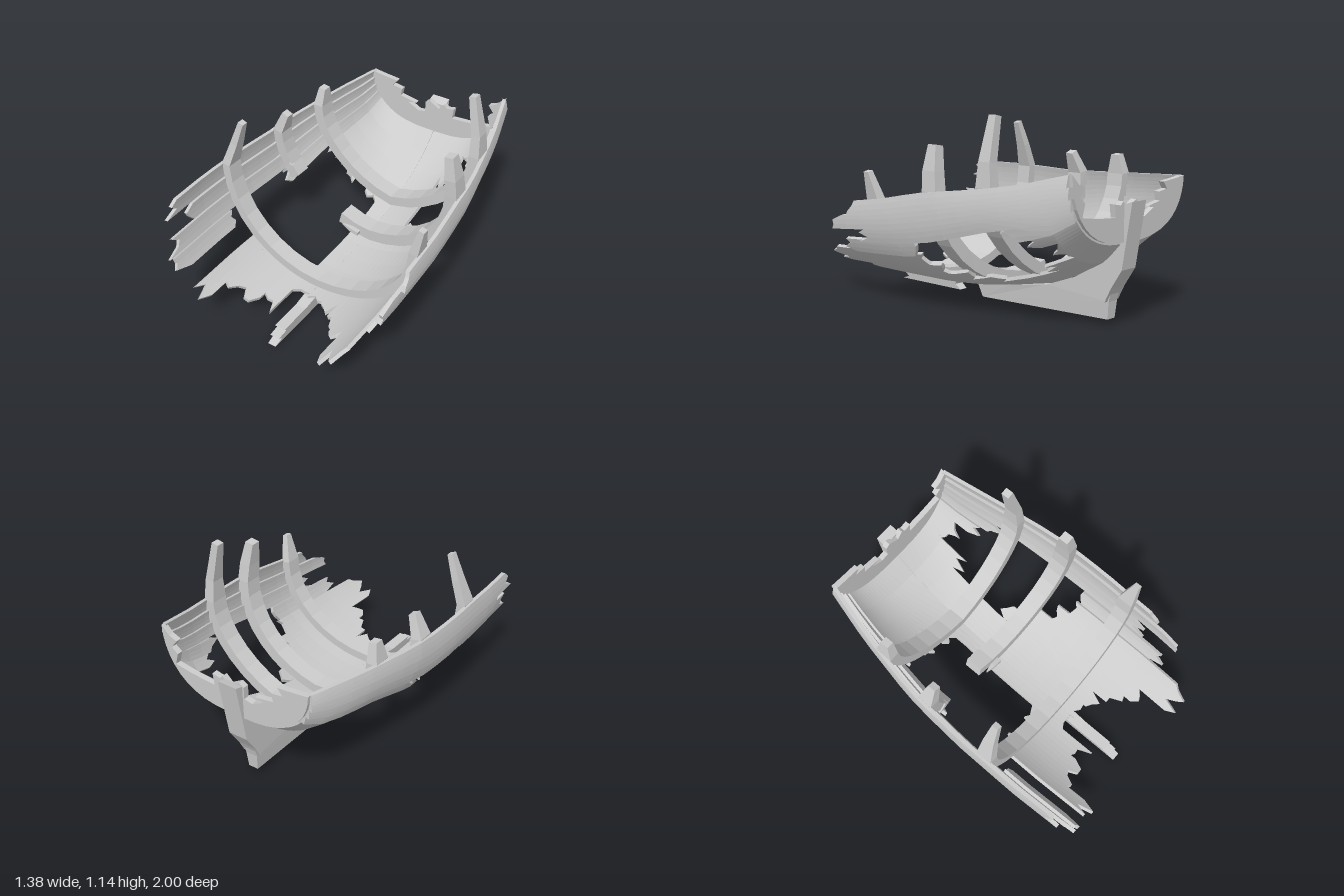
import * as THREE from 'three';

const material = new THREE.MeshStandardMaterial({ color: 0xcccccc, flatShading: true, side: THREE.DoubleSide });
const STERN = -0.93;
const clamp = THREE.MathUtils.clamp;

// Hull lines as [z, value] stations
const BEAM = [[-0.93, 0.48], [-0.6, 0.565], [-0.2, 0.64], [0.2, 0.668], [0.6, 0.672], [1, 0.655]];
const BOTTOM = [[-0.93, 0.48], [-0.8, 0.36], [-0.6, 0.25], [-0.4, 0.175], [-0.1, 0.12], [0.2, 0.095], [1, 0.085]];
const RAIL_PLUS = [[-0.93, 0.87], [-0.65, 0.8], [-0.4, 0.76], [0, 0.71], [0.3, 0.65], [1, 0.55]];
const RAIL_MINUS = [[-0.93, 0.79], [-0.5, 0.76], [0, 0.73], [0.45, 0.74], [1, 0.73]];

function sample(table, z) {
  if (z <= table[0][0]) return table[0][1];
  for (let i = 1; i < table.length; i++) {
    const [z0, a] = table[i - 1], [z1, b] = table[i];
    if (z <= z1) return a + (b - a) * (z - z0) / (z1 - z0);
  }
  return table[table.length - 1][1];
}

let seed = 7;
function rand() {
  seed = (seed * 16807) % 2147483647;
  return seed / 2147483647;
}

// Hull section: s = 0 at the keel, +-1 at the rails; off moves outward.
// Sections are fuller at the stern and slightly V-shaped ahead of it.
function hullPoint(s, z, off = 0) {
  const side = s < 0 ? -1 : 1, a = Math.abs(s) * Math.PI / 2;
  const full = 1 - 0.3 * clamp((-z - 0.3) / 0.6, 0, 1);
  const vee = 0.2 * Math.max(0, 1 - Math.abs(z + 0.45) / 0.45);
  const low = sample(BOTTOM, z), high = sample(side > 0 ? RAIL_PLUS : RAIL_MINUS, z);
  const x = sample(BEAM, z) * Math.pow(Math.sin(a), full) + off * Math.sin(a);
  const y = low + (high - low) * (1 - Math.cos(a) + vee * Math.sin(a) * Math.cos(a)) - off * Math.cos(a);
  return [side * x, y, z];
}

// Joins closed rings of points into a capped solid
function loft(rings, flip = false) {
  const pos = [], n = rings[0].length;
  const quad = (a, b, c, d) => pos.push(...(flip ? [a, c, b, a, d, c] : [a, b, c, a, c, d]).flat());
  for (let i = 0; i + 1 < rings.length; i++) {
    for (let j = 0; j < n; j++) {
      const k = (j + 1) % n;
      quad(rings[i][j], rings[i][k], rings[i + 1][k], rings[i + 1][j]);
    }
  }
  const first = rings[0], last = rings[rings.length - 1];
  for (let j = 0; j < n / 2 - 1; j++) {
    quad(first[n - 1 - j], first[n - 2 - j], first[j + 1], first[j]);
    quad(last[j], last[j + 1], last[n - 2 - j], last[n - 1 - j]);
  }
  const g = new THREE.BufferGeometry();
  g.setAttribute('position', new THREE.Float32BufferAttribute(pos, 3));
  g.computeVertexNormals();
  return g;
}

function add(group, name, geometry) {
  const mesh = new THREE.Mesh(geometry, material);
  mesh.name = name;
  group.add(mesh);
  return mesh;
}

// One run of planking between z0 and z1, splintered wherever it is broken.
// All runs share the same stations, so neighbouring seams meet.
function plank(side, index, z0, z1) {
  const rows = 4, lapped = index > 5, jag = index === 0 ? 0.03 : Math.min(0.11, (z1 - z0) * 0.4);
  const starts = [], ends = [];
  for (let j = 0; j < rows; j++) {
    starts.push(z0 === STERN ? z0 : z0 + rand() * jag * 0.7);
    ends.push(z1 - rand() * jag);
  }
  ends[Math.floor(rand() * rows)] = z1;
  const stations = [z0];
  for (let z = STERN + 0.13; z < z1 - 0.01; z += 0.13) if (z > z0 + 0.01) stations.push(z);
  stations.push(z1);
  return loft(stations.map(station => {
    const outer = [], inner = [];
    for (let j = 0; j < rows; j++) {
      const t = j / (rows - 1), s = side * Math.max(0.0001, (index + t) / 10);
      const z = clamp(station, starts[j], ends[j]);
      outer.push(hullPoint(s, z, lapped ? 0.027 - 0.021 * t : 0.01));
      inner.unshift(hullPoint(s, z, lapped ? 0.003 - 0.02 * t : -0.012));
    }
    return [...outer, ...inner];
  }), side < 0);
}

// Rectangular timber swept along [x, y, z, scale] points
function timber(path, depth, width) {
  const last = path.length - 1;
  return loft(path.map(([x, y, z, k = 1], i) => {
    const a = path[Math.max(0, i - 1)], b = path[Math.min(last, i + 1)];
    const len = Math.hypot(b[0] - a[0], b[1] - a[1]);
    const d = depth / 2 * Math.sqrt(k) / len, w = width / 2 * k;
    const nx = (a[1] - b[1]) * d, ny = (b[0] - a[0]) * d;
    return [[x - nx, y - ny, z - w], [x + nx, y + ny, z - w], [x + nx, y + ny, z + w], [x - nx, y - ny, z + w]];
  }));
}

// Rib following the inside of the hull, with free tops at either end
function rib(z0, z1, s0, s1, topStart, topEnd, width, depth) {
  const path = [...topStart], n = Math.max(4, Math.round((s1 - s0) * 8));
  for (let i = 0; i <= n; i++) {
    path.push(hullPoint(s0 + (s1 - s0) * i / n, z0 + (z1 - z0) * i / n, -0.008 - depth / 2));
  }
  path.push(...topEnd);
  return timber(path, depth, width);
}

// Side outline in [z, y], given thickness across x that narrows towards the ground
function sideProfile(points, width) {
  const shape = new THREE.Shape(points.map(p => new THREE.Vector2(...p)));
  const g = new THREE.ExtrudeGeometry(shape, { depth: width, bevelEnabled: false })
    .translate(0, 0, -width / 2).rotateY(-Math.PI / 2);
  const p = g.attributes.position;
  for (let i = 0; i < p.count; i++) p.setX(i, p.getX(i) * (0.7 + 3 * clamp(p.getY(i), 0, 0.1)));
  g.computeVertexNormals();
  return g;
}

export function createModel() {
  const model = new THREE.Group();
  model.name = 'shipwreck';

  // Planking: surviving runs per strake, keel to rail
  const runs = {
    1: [
      [[STERN, 0.53]], [[STERN, 0.6]], [[STERN, -0.58], [-0.27, 0.7]], [[STERN, -0.74], [-0.14, 0.78]],
      [[STERN, -0.72], [0.01, 1]], [[STERN, -0.62], [0.08, 1]], [[STERN, -0.5], [0.08, 0.76]],
      [[STERN, 0.56]], [[STERN, 0.78]], [[STERN, 0.6]],
    ],
    [-1]: [
      [[STERN, 0.53]], [[STERN, -0.36], [0.28, 0.76]], [[STERN, -0.4], [0.3, 0.78]], [[STERN, -0.37], [0.3, 0.8]],
      [[STERN, -0.4], [0.33, 1]], [[STERN, -0.38]], [[STERN, -0.02], [0.42, 1]],
      [[STERN, 1]], [[STERN, 0.78]], [[STERN, 0.92]],
    ],
  };
  for (const side of [1, -1]) {
    const planking = new THREE.Group();
    planking.name = side > 0 ? 'leftPlanking' : 'rightPlanking';
    runs[side].forEach((strake, i) => strake.forEach(([a, b]) => add(planking, 'strake', plank(side, i, a, b))));
    model.add(planking);
  }

  // Ribs
  add(model, 'frontRib', rib(0.38, 0.38, -1, 1,
    [[-0.532, 1.03, 0.37, 0.4], [-0.585, 0.88, 0.37, 0.7]], [[0.672, 0.8, 0.4, 0.4]], 0.1, 0.055));
  add(model, 'middleRib', rib(-0.14, -0.08, -0.2, 1,
    [], [[0.595, 0.83, -0.07, 0.9], [0.572, 0.97, -0.065, 0.55]], 0.11, 0.075));
  add(model, 'brokenRib', rib(-0.08, -0.1, -1, -0.62, [[-0.555, 0.86, -0.07, 0.5]], [], 0.1, 0.065));
  add(model, 'rearRib', rib(-0.44, -0.44, -1, 1,
    [[-0.54, 0.87, -0.44, 0.5]], [[0.55, 0.9, -0.44, 0.75], [0.5, 1.14, -0.445, 0.45]], 0.11, 0.065));

  // Splinters on the broken ends
  for (const [x, y, z, angle] of [[-0.13, 0.19, -0.19, -0.3], [-0.12, 0.21, -0.11, -0.25], [-0.09, 0.18, -0.06, -0.2],
    [-0.57, 0.5, -0.13, 1.2], [-0.56, 0.47, -0.05, 0.9]]) {
    const dx = Math.cos(angle) * 0.06, dy = Math.sin(angle) * 0.06;
    add(model, 'splinter', timber([[x - dx, y - dy, z, 0.2], [x, y, z], [x + dx, y + dy, z]], 0.025, 0.03));
  }

  // Transom with a broken upper edge
  const edge = [];
  for (let i = -10; i <= 10; i++) edge.push(hullPoint(i / 10, STERN));
  const broken = [[0.43, 0.82], [0.38, 0.8], [0.42, 0.75], [0.38, 0.72], [0.4, 0.65], [0.27, 0.63], [0.13, 0.62],
    [0.14, 0.69], [0.09, 0.68], [0.07, 0.7], [0.03, 0.66], [-0.04, 0.7], [-0.07, 0.68], [-0.07, 0.61], [-0.12, 0.6],
    [-0.2, 0.64], [-0.14, 0.65], [-0.26, 0.67], [-0.25, 0.72], [-0.32, 0.73], [-0.29, 0.77], [-0.4, 0.78]];
  const transom = new THREE.Shape([...edge, ...broken].map(([x, y]) => new THREE.Vector2(x, y)));
  add(model, 'transom', new THREE.ExtrudeGeometry(transom, { depth: 0.035, bevelEnabled: false })).position.z = -0.95;

  // Keel, sternpost and the loose forward keel piece
  add(model, 'keel', sideProfile([[0.17, 0.1], [0.13, 0], [-0.83, 0.04], [-0.84, 0.14], [-0.89, 0.33], [-0.93, 0.47],
    [-0.8, 0.35], [-0.6, 0.24], [-0.4, 0.165], [-0.1, 0.113]], 0.075));
  add(model, 'sternpost', sideProfile([[-0.83, 0.14], [-0.87, 0.22], [-0.94, 0.33], [-1, 0.7], [-0.94, 0.68],
    [-0.93, 0.47], [-0.82, 0.35]], 0.12));
  add(model, 'forwardKeel', sideProfile([[0.33, 0.01], [0.37, 0.04], [0.34, 0.09], [0.52, 0.09], [0.6, 0.075], [0.8, 0.07],
    [0.78, 0.05], [0.85, 0.04], [0.82, 0.02], [0.88, 0]], 0.075));

  return model;
}
